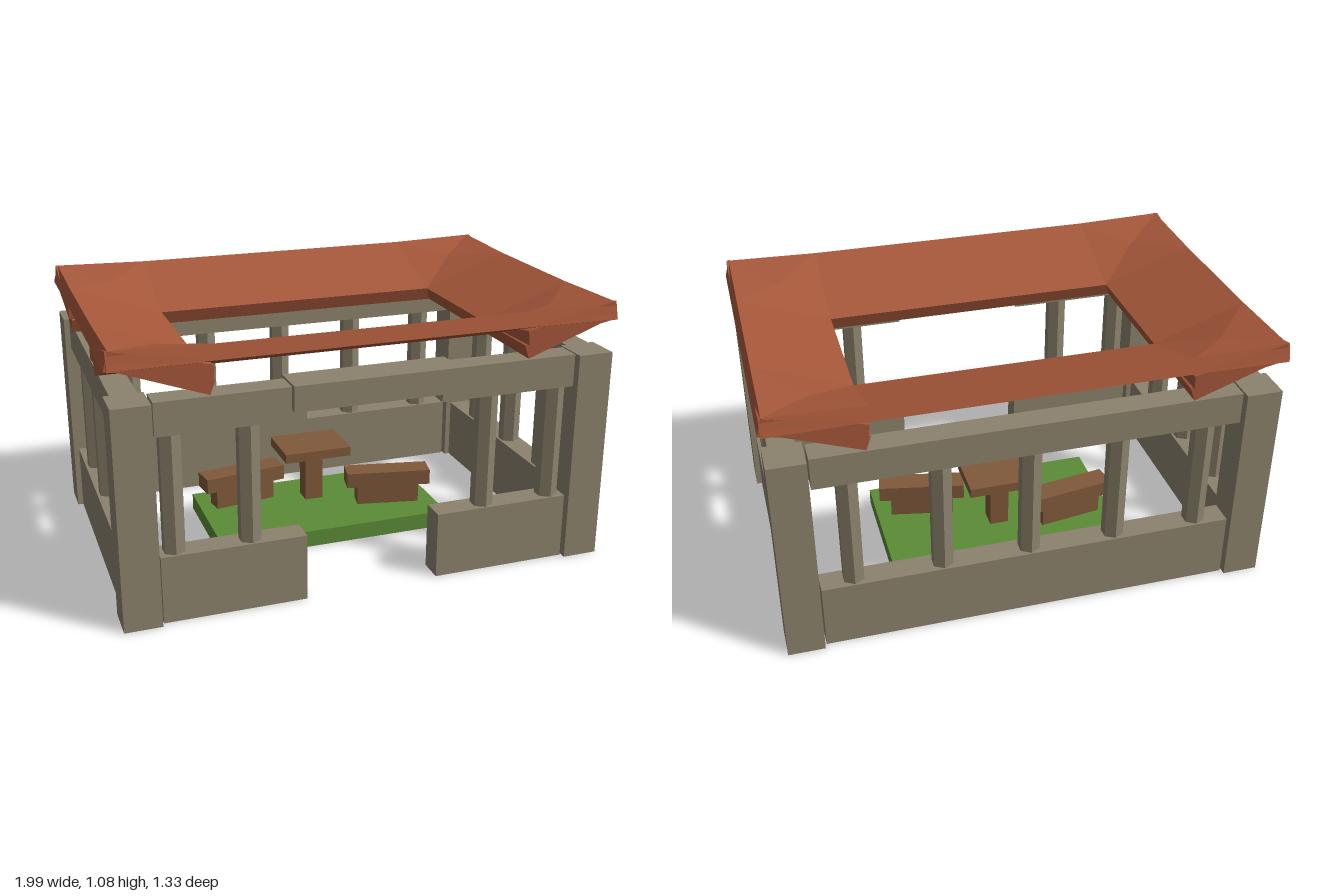
import * as THREE from 'three';
import { ConvexGeometry } from 'three/addons/geometries/ConvexGeometry.js';

const material = (name, color) => {
  const m = new THREE.MeshStandardMaterial({ color });
  m.name = name;
  return m;
};

export function createModel() {
  const stone = material('stone', 0x8c836d);
  const tile = material('roofTile', 0xa5573a);
  const wood = material('wood', 0x80593a);
  const grass = material('grass', 0x5b8b36);

  const model = new THREE.Group();
  model.name = 'courtyardPavilion';

  const add = (name, geometry, mat, parent = model) => {
    const mesh = new THREE.Mesh(geometry, mat);
    mesh.name = name;
    parent.add(mesh);
    return mesh;
  };
  // Box given by its limits on each axis
  const box = (name, mat, [x0, x1], [y0, y1], [z0, z1], parent) => {
    const mesh = add(name, new THREE.BoxGeometry(x1 - x0, y1 - y0, z1 - z0), mat, parent);
    mesh.position.set((x0 + x1) / 2, (y0 + y1) / 2, (z0 + z1) / 2);
    return mesh;
  };
  const span = (centre, size) => [centre - size / 2, centre + size / 2];

  // Corner posts
  const postX = 0.91, postZ = 0.5825;
  for (const sx of [-1, 1]) {
    for (const sz of [-1, 1]) {
      box('cornerPost', stone, span(sx * postX, 0.145), [0, 0.87], span(sz * postZ, 0.145));
    }
  }

  // Low walls and upper beams, with an entrance gap at the front
  for (const [name, y] of [['lowWall', [0, 0.27]], ['upperBeam', [0.74, 0.87]]]) {
    box(name + 'Back', stone, [-0.83, 0.83], y, span(-postZ, 0.1));
    for (const s of [-1, 1]) {
      box(name + 'Front', stone, span(s * 0.55, 0.56), y, span(postZ, 0.1));
      box(name + 'Side', stone, span(s * postX, 0.1), y, [-0.51, 0.51]);
    }
  }
  box('entranceLintel', stone, [-0.325, 0.325], [0.78, 0.88], [0.515, 0.66]);

  // Six-sided columns between walls and beams
  const columnGeometry = new THREE.CylinderGeometry(0.045, 0.045, 0.49, 6).toNonIndexed();
  columnGeometry.computeVertexNormals();
  const column = (x, z) => add('column', columnGeometry, stone).position.set(x, 0.505, z);
  for (const x of [-0.7, -0.35, 0, 0.35, 0.7]) column(x, -postZ);
  for (const x of [-0.77, -0.48, 0.48, 0.77]) column(x, postZ);
  for (const z of [-0.305, 0, 0.305]) {
    column(-postX, z);
    column(postX, z);
  }

  // Roof slab sections: [distance in from the eave, height]
  const steep = [[0, 1.065], [-0.02, 1.01], [0.35, 0.875], [0.37, 0.93]];
  const raised = [[0, 1.075], [-0.02, 1.005], [0.36, 0.935], [0.365, 0.99]];
  const roof = new THREE.Group();
  roof.name = 'roof';
  model.add(roof);

  // Slab between two sections placed at positions a and b along the eave
  const slab = (name, along, side, eave, sectionA, a, sectionB, b) => {
    const points = [];
    for (const [section, t] of [[sectionA, a], [sectionB, b]]) {
      for (const [inset, y] of section) {
        const out = side * (eave - inset);
        points.push(along === 'x' ? new THREE.Vector3(t, y, out) : new THREE.Vector3(out, y, t));
      }
    }
    add(name, new ConvexGeometry(points), tile, roof);
  };

  // Four inward-sloping slabs, each with lifted ends at the corners
  for (const [along, eave, mainEnd, tipEnd, tipStart] of [
    ['x', 0.645, 0.975, 0.985, 0.605],
    ['z', 0.975, 0.635, 0.65, 0.275],
  ]) {
    for (const side of [-1, 1]) {
      slab('roofSlab', along, side, eave, steep, -mainEnd, steep, mainEnd);
      for (const end of [-1, 1]) {
        slab('roofCorner', along, side, eave, steep, end * tipStart, raised, end * tipEnd);
      }
    }
  }

  // Lawn
  box('lawn', grass, [-0.5, 0.5], [0, 0.07], [-0.3, 0.225]);

  // Table
  box('tableTop', wood, [-0.15, 0.145], [0.285, 0.325], [-0.235, -0.01]);
  box('tableLeg', wood, [-0.04, 0.04], [0.07, 0.285], [-0.16, -0.08]);

  // Two benches turned slightly
  for (const [x, z, turn] of [[-0.305, -0.17, 0.15], [0.3, 0.03, -0.2]]) {
    const bench = new THREE.Group();
    bench.name = 'bench';
    box('benchSeat', wood, span(0, 0.365), [0.155, 0.22], span(0, 0.1), bench);
    box('benchBase', wood, span(0, 0.27), [0.07, 0.155], span(0, 0.075), bench);
    bench.position.set(x, 0, z);
    bench.rotation.y = turn;
    model.add(bench);
  }

  return model;
}
